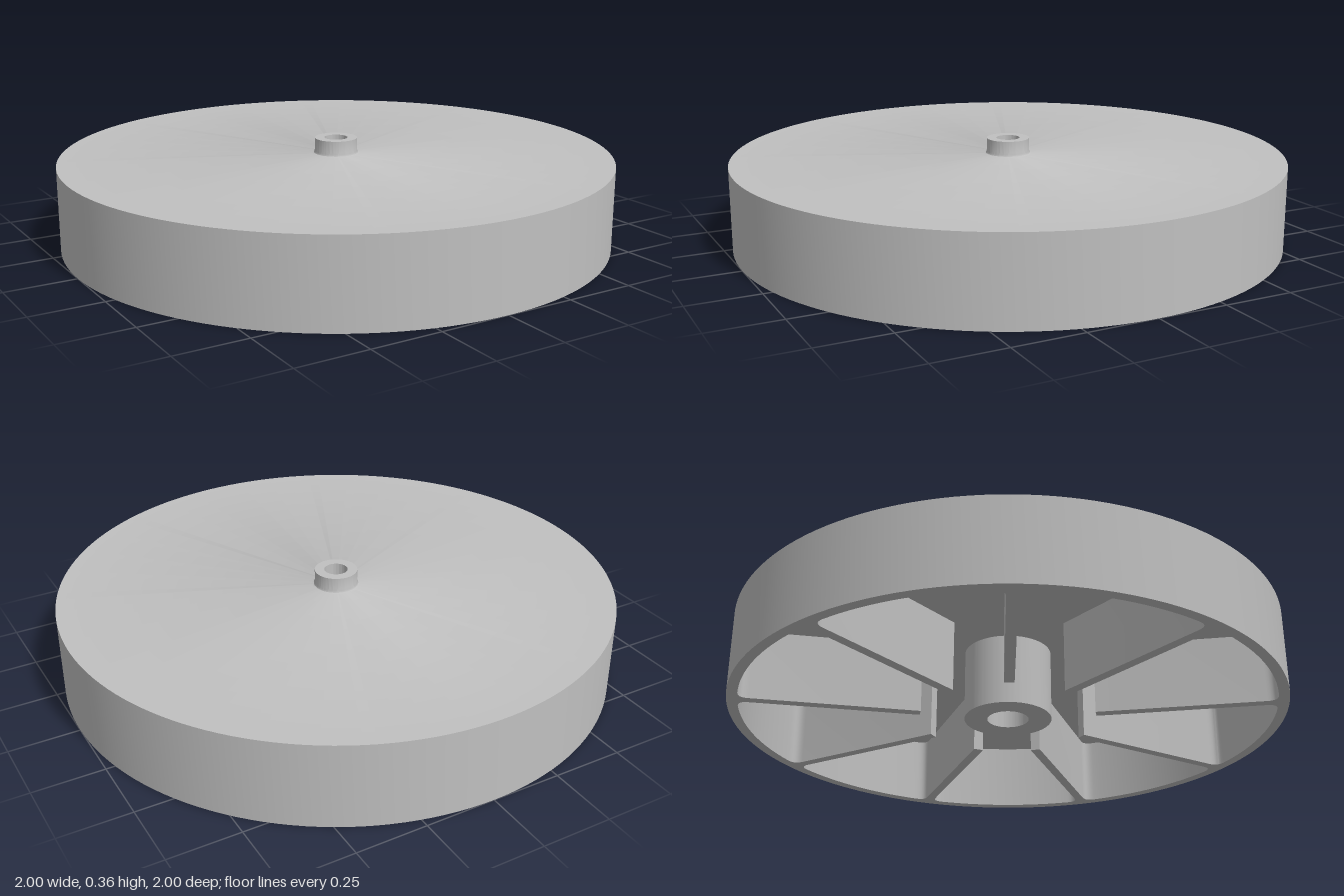
import * as THREE from 'three';
import { toCreasedNormals } from 'three/addons/utils/BufferGeometryUtils.js';

const RIBS = 9;
const RIM_INNER = 0.962;   // inside of the rim wall
const RIB_INNER = 0.32;    // free inner end of each rib
const HALF_RIB = 0.018;    // half rib thickness
const FILLET = 0.04;       // rounding where ribs meet the rim
const FLOOR = 0.26;        // underside of the top plate

// Outline of the hollow: nine wedge pockets joined around the hub
function pocketPath() {
  const step = (Math.PI * 2) / RIBS;
  const pts = [];
  const polar = (r, a) => new THREE.Vector2(r * Math.cos(a), r * Math.sin(a));
  const local = (u, v, a) => new THREE.Vector2(u, v).rotateAround(new THREE.Vector2(), a);
  const inset = (HALF_RIB + FILLET) / RIM_INNER;
  for (let k = 0; k < RIBS; k++) {
    const a = k * step, b = a + step;
    const first = new THREE.QuadraticBezierCurve(
      local(RIM_INNER - FILLET, HALF_RIB, a), local(RIM_INNER, HALF_RIB, a), polar(RIM_INNER, a + inset));
    const last = new THREE.QuadraticBezierCurve(
      polar(RIM_INNER, b - inset), local(RIM_INNER, -HALF_RIB, b), local(RIM_INNER - FILLET, -HALF_RIB, b));
    pts.push(local(RIB_INNER, HALF_RIB, a), ...first.getPoints(6));
    for (let i = 1; i < 16; i++) {
      pts.push(polar(RIM_INNER, a + inset + ((step - 2 * inset) * i) / 16));
    }
    pts.push(...last.getPoints(6), local(RIB_INNER, -HALF_RIB, b));
  }
  return new THREE.Path(pts);
}

export function createModel() {
  const group = new THREE.Group();
  group.name = 'ribbedWheel';
  const grey = new THREE.MeshStandardMaterial({ color: 0xc0c0c0 });
  grey.name = 'grey';

  // Turned body: stepped bore, hub, plate, rim and top collar
  const profile = [
    [0.042, 0.36], [0.042, 0.2], [0.075, 0.2], [0.075, 0], [0.158, 0], [0.158, FLOOR],
    [0.97, FLOOR], [0.97, 0], [1, 0], [1, 0.303],
    [0.088, 0.303], [0.081, 0.306], [0.078, 0.312], [0.077, 0.32], [0.077, 0.36], [0.042, 0.36],
  ].map(([x, y]) => new THREE.Vector2(x, y));
  const body = new THREE.Mesh(
    toCreasedNormals(new THREE.LatheGeometry(profile, 144), 0.6), grey);
  body.name = 'plateRimAndHub';
  group.add(body);

  // Radial ribs blended into the inside of the rim
  const ring = new THREE.Shape().absarc(0, 0, 0.97, 0, Math.PI * 2, false);
  ring.holes.push(pocketPath());
  const ribGeometry = new THREE.ExtrudeGeometry(ring, { depth: FLOOR, bevelEnabled: false, curveSegments: 144 });
  ribGeometry.rotateX(Math.PI / 2).translate(0, FLOOR, 0);
  const ribs = new THREE.Mesh(toCreasedNormals(ribGeometry, 0.6), grey);
  ribs.name = 'radialRibs';
  group.add(ribs);

  return group;
}
